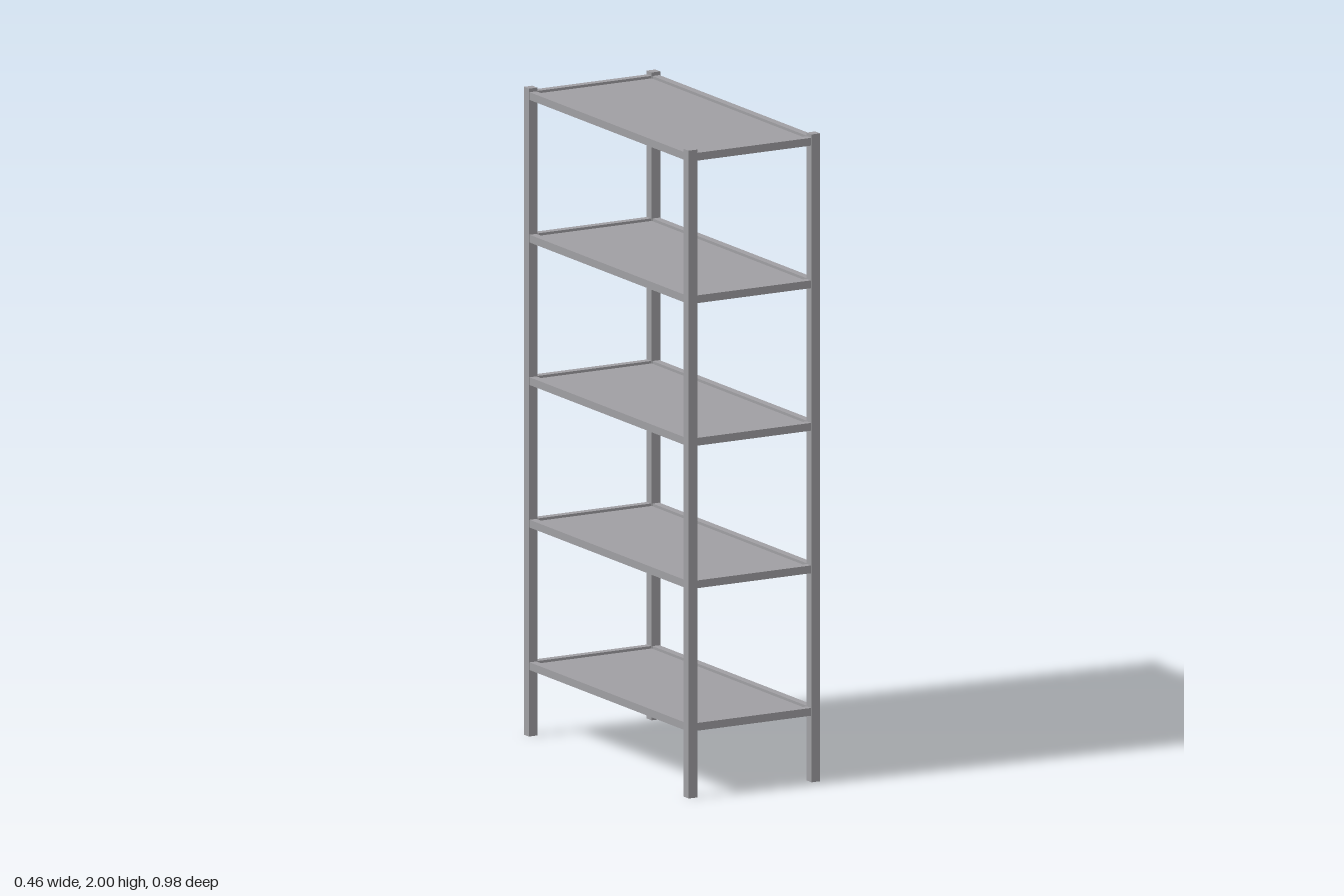
import * as THREE from 'three';

export function createModel() {
  const model = new THREE.Group();
  model.name = 'shelvingRack';
  const metal = new THREE.MeshStandardMaterial({ color: 0xa09fa3 });
  metal.name = 'grey metal';

  function box(name, parent, size, pos) {
    const mesh = new THREE.Mesh(new THREE.BoxGeometry(...size), metal);
    mesh.name = name;
    mesh.position.set(...pos);
    parent.add(mesh);
  }

  const post = 0.03, rail = 0.024;
  const px = 0.214, pz = 0.477; // post centres

  // Four corner posts
  for (const sx of [-1, 1]) {
    for (const sz of [-1, 1]) {
      box((sz > 0 ? 'front' : 'back') + (sx > 0 ? 'Left' : 'Right') + 'Post',
        model, [post, 2, post], [sx * px, 1, sz * pz]);
    }
  }

  // Five shelves: a rail frame between the posts around a recessed panel
  for (let i = 0; i < 5; i++) {
    const shelf = new THREE.Group();
    shelf.name = 'shelf' + (i + 1);
    shelf.position.y = 0.217 + i * 0.44;
    for (const s of [-1, 1]) {
      box(s > 0 ? 'leftRail' : 'rightRail', shelf,
        [rail, rail, 2 * pz - post], [s * px, 0, 0]);
      box(s > 0 ? 'frontRail' : 'backRail', shelf,
        [2 * px - post, rail, rail], [0, 0, s * pz]);
    }
    box('panel', shelf, [0.398, 0.01, 0.924], [0, 0, 0]);
    model.add(shelf);
  }

  return model;
}
